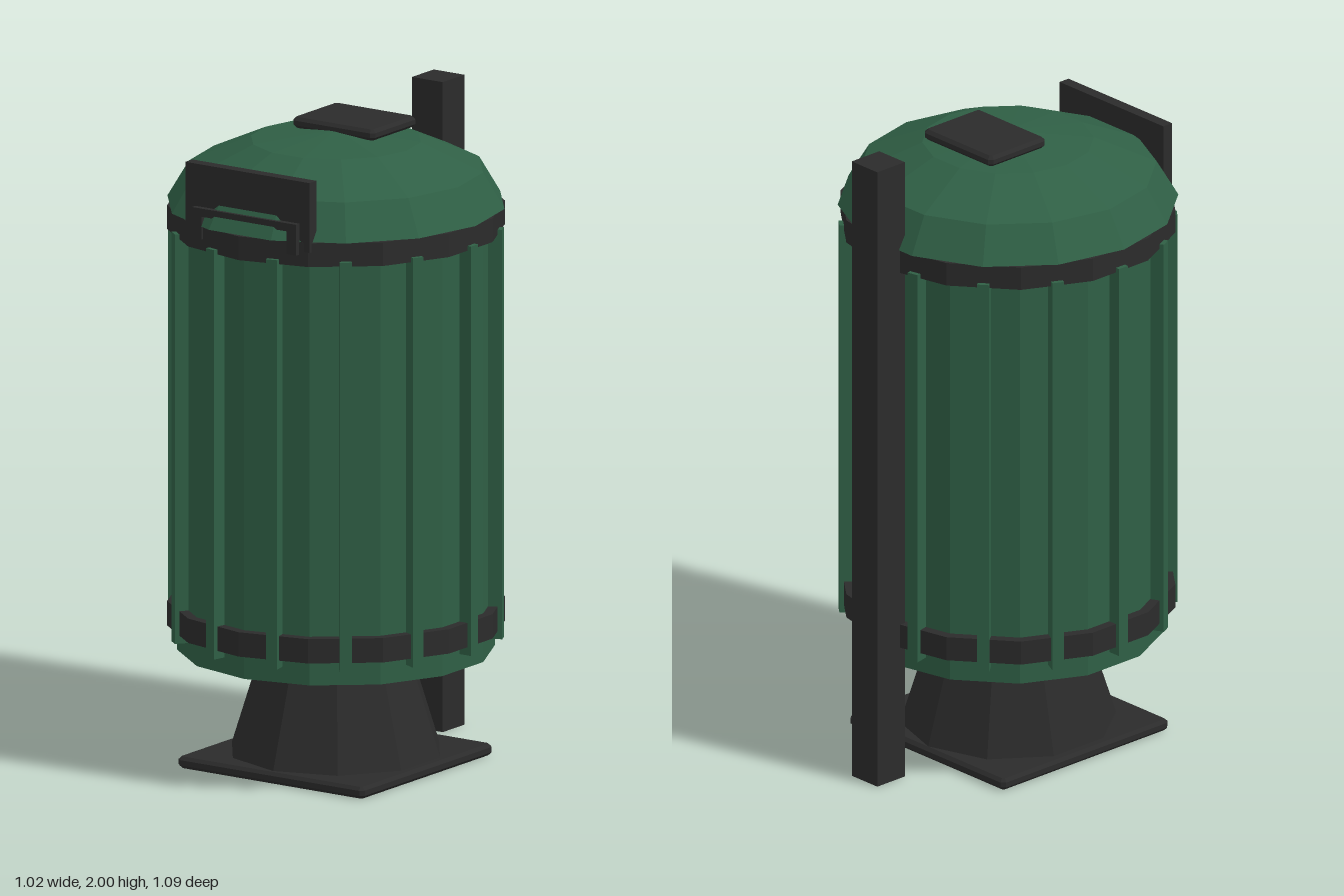
import * as THREE from 'three';

const SIDES = 14;
const STEP = (Math.PI * 2) / SIDES;
const AXIS_Z = 0.04; // the barrel stands slightly forward of the post

const green = new THREE.MeshStandardMaterial({ color: 0x2f5f45 });
green.name = 'green paint';
green.flatShading = true;
const dark = new THREE.MeshStandardMaterial({ color: 0x2b2b2b });
dark.name = 'dark metal';
dark.flatShading = true;

function add(parent, name, geometry, material, x = 0, y = 0, z = 0) {
  const mesh = new THREE.Mesh(geometry, material);
  mesh.name = name;
  mesh.position.set(x, y, z);
  parent.add(mesh);
  return mesh;
}

// Upright prism or cone between two heights
function drum(rTop, rBottom, y0, y1, sides) {
  return new THREE.CylinderGeometry(rTop, rBottom, y1 - y0, sides).translate(0, (y0 + y1) / 2, 0);
}

// Flat plate with chamfered edges and clipped corners, lying on y = 0
function chamferedPlate(width, depth, height, bevel) {
  const w = width / 2 - bevel;
  const d = depth / 2 - bevel;
  const c = bevel * 0.6;
  const outline = [
    [w, -d + c], [w, d - c], [w - c, d], [-w + c, d],
    [-w, d - c], [-w, -d + c], [-w + c, -d], [w - c, -d],
  ].map(([x, y]) => new THREE.Vector2(x, y));
  const geometry = new THREE.ExtrudeGeometry(new THREE.Shape(outline), {
    depth: height - 2 * bevel,
    bevelEnabled: true,
    bevelSize: bevel,
    bevelThickness: bevel,
    bevelSegments: 1,
  });
  return geometry.translate(0, 0, bevel).rotateX(-Math.PI / 2);
}

export function createModel() {
  const model = new THREE.Group();
  model.name = 'litterBin';

  const barrel = new THREE.Group();
  barrel.name = 'barrel';
  barrel.position.z = AXIS_Z;
  model.add(barrel);

  // Foot
  add(barrel, 'basePlate', chamferedPlate(0.68, 0.68, 0.036, 0.01), dark, 0, 0, 0.004);
  add(barrel, 'pedestal', drum(0.225, 0.327, 0.03, 0.355, 10), dark);

  // Body and hoops
  add(barrel, 'body', drum(0.475, 0.475, 0.35, 1.72, SIDES), green);
  add(barrel, 'lowerHoop', drum(0.505, 0.505, 0.425, 0.5, SIDES), dark);
  add(barrel, 'upperHoop', drum(0.505, 0.505, 1.645, 1.718, SIDES), dark);

  // Slats, one on the middle of each body face
  const slats = new THREE.Group();
  slats.name = 'slats';
  barrel.add(slats);
  const slatGeometry = new THREE.BoxGeometry(0.036, 1.26, 0.05).translate(0, 1.03, 0.481);
  for (let i = 0; i < SIDES; i++) {
    add(slats, 'slat', slatGeometry, green).rotation.y = (i + 0.5) * STEP;
  }

  // Domed lid
  const lidProfile = [[0, 1.72], [0.51, 1.72], [0.445, 1.83], [0.257, 1.915], [0, 1.945]];
  const lid = new THREE.LatheGeometry(
    lidProfile.map(([r, y]) => new THREE.Vector2(r, y)), SIDES, STEP / 2);
  add(barrel, 'lid', lid, green);

  // Cap plate on the lid
  add(model, 'capPlate', chamferedPlate(0.3, 0.23, 0.034, 0.01), dark, 0, 1.931, -0.055);

  // Front plaque and the arched handle in front of it
  add(model, 'frontPlaque', new THREE.BoxGeometry(0.454, 0.215, 0.036), dark, 0, 1.7975, 0.48);
  const arch = new THREE.Shape([
    [-0.19, 1.68], [-0.155, 1.68], [-0.155, 1.75], [0.155, 1.75],
    [0.155, 1.68], [0.19, 1.68], [0.19, 1.775], [-0.19, 1.775],
  ].map(([x, y]) => new THREE.Vector2(x, y)));
  const archGeometry = new THREE.ExtrudeGeometry(arch, { depth: 0.035, bevelEnabled: false });
  add(model, 'handle', archGeometry, dark, 0, 0, 0.481);

  // Rear post
  add(model, 'post', new THREE.BoxGeometry(0.112, 2, 0.112), dark, 0, 1, -0.489);

  return model;
}
